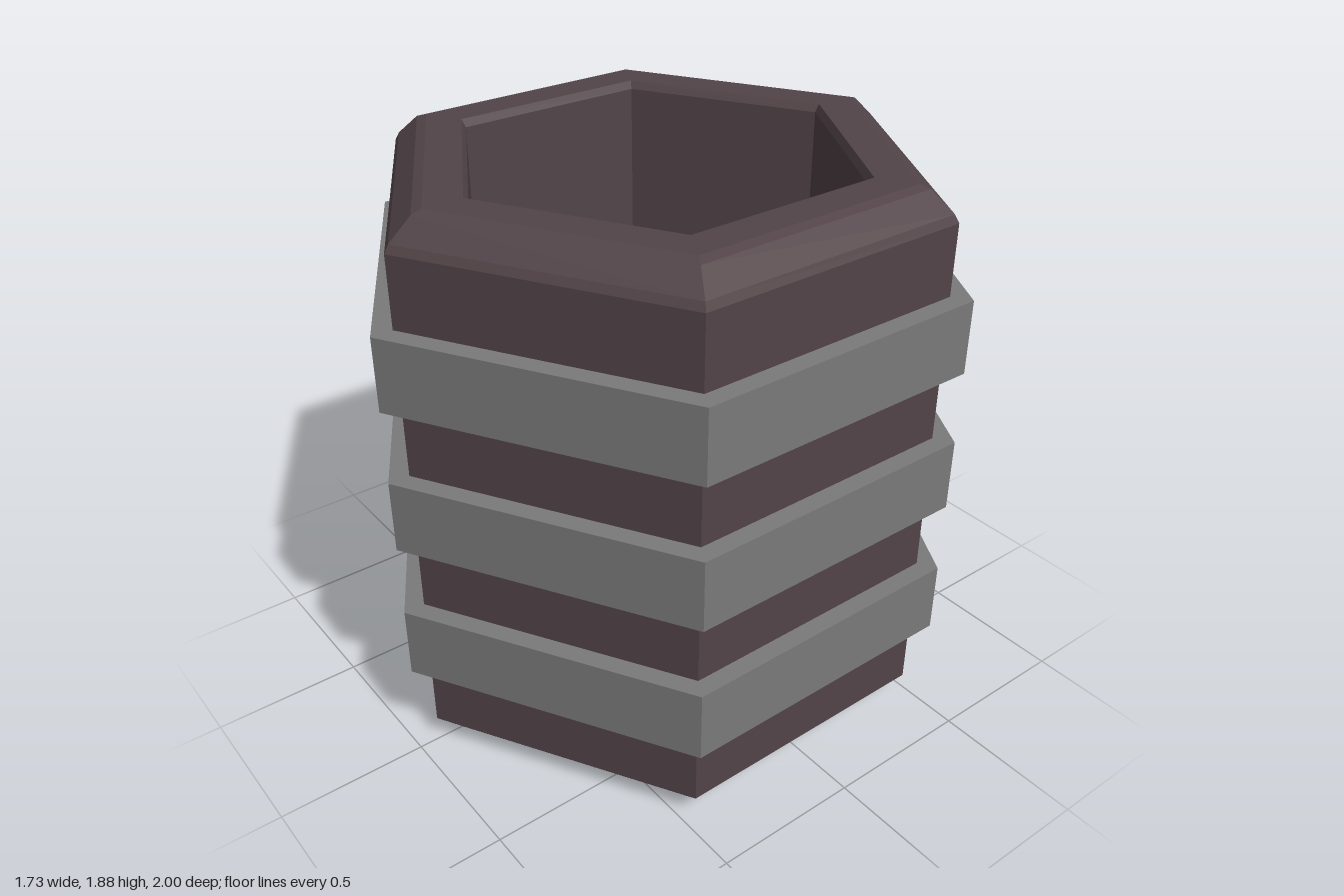
import * as THREE from 'three';

const barrelBrown = new THREE.MeshStandardMaterial({ color: 0x524448 });
barrelBrown.name = 'darkBrown';
const bandGrey = new THREE.MeshStandardMaterial({ color: 0x7a7a7a });
bandGrey.name = 'ironGrey';

// Six-sided lathe with flat faces, corners pointing along z
function hexLathe(name, profile, material) {
  const points = profile.map(([r, y]) => new THREE.Vector2(r, y));
  const geometry = new THREE.LatheGeometry(points, 6).toNonIndexed();
  geometry.computeVertexNormals();
  const mesh = new THREE.Mesh(geometry, material);
  mesh.name = name;
  return mesh;
}

export function createModel() {
  const group = new THREE.Group();
  group.name = 'hexBarrel';

  // Hollow body: chamfered base, rounded rim, small inner lip, deep floor
  group.add(hexLathe('barrelBody', [
    [0, 0], [0.84, 0], [0.93, 0.09],
    [0.93, 1.785], [0.915, 1.81], [0.84, 1.875], [0.805, 1.885],
    [0.675, 1.885], [0.66, 1.86], [0.66, 0.1], [0, 0.1],
  ], barrelBrown));

  // Three raised bands, evenly spaced
  for (let i = 0; i < 3; i++) {
    const y0 = 0.335 + i * 0.488, y1 = y0 + 0.243;
    group.add(hexLathe(`band${i + 1}`, [
      [0.92, y0], [1, y0], [1, y1], [0.92, y1], [0.92, y0],
    ], bandGrey));
  }
  return group;
}
